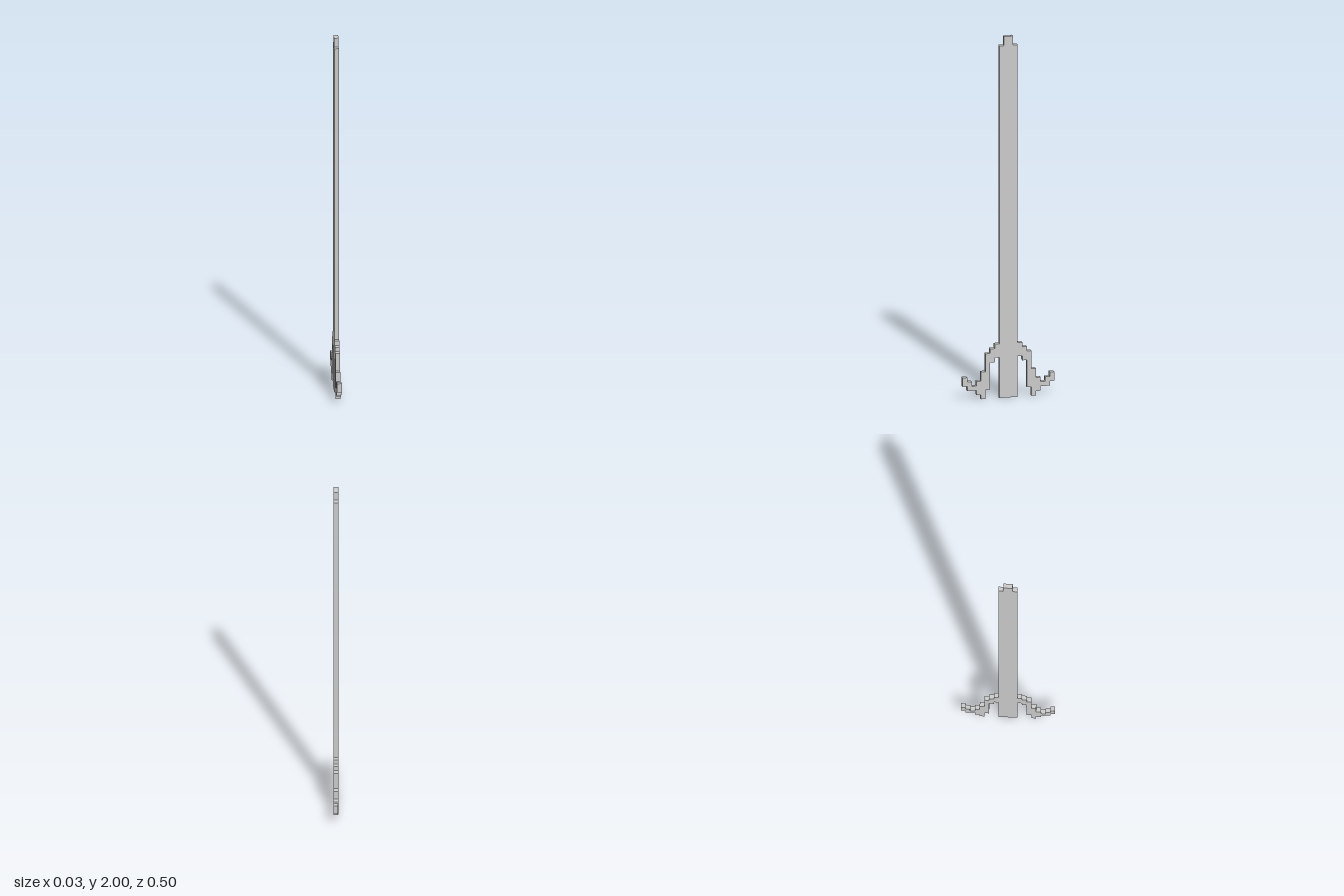
import * as THREE from 'three';

const U = 0.025; // edge of one block
const material = new THREE.MeshStandardMaterial({ color: 0xcccccc, flatShading: true });

// Flat plate one block thick, from a stepped outline of [z, y] block corners
function plate(name, outline, side = 1) {
  const shape = new THREE.Shape(outline.map(([z, y]) => new THREE.Vector2(z * side * U, y * U)));
  const geometry = new THREE.ExtrudeGeometry(shape, { depth: U, bevelEnabled: false });
  geometry.translate(0, 0, -U / 2);
  geometry.rotateY(-Math.PI / 2);
  const mesh = new THREE.Mesh(geometry, material);
  mesh.name = name;
  return mesh;
}

export function createModel() {
  const group = new THREE.Group();
  group.name = 'blade';

  // Long blade with a stepped tip
  group.add(plate('bladeBody', [
    [-2, 0], [2, 0], [2, 78], [1, 78], [1, 80], [-1, 80], [-1, 78], [-2, 78],
  ]));

  // Drooping prong with a hooked end, mirrored front and back
  const prong = [
    [2, 12], [3, 12], [3, 11], [4, 11], [4, 10], [5, 10], [5, 6], [6, 6], [6, 4], [7, 4],
    [7, 3], [8, 3], [8, 4], [9, 4], [9, 5], [10, 5], [10, 3], [9, 3], [9, 2], [7, 2],
    [7, 1], [6, 1], [6, 0], [5, 0], [5, 2], [4, 2], [4, 8], [3, 8], [3, 9], [2, 9],
  ];
  group.add(plate('frontProng', prong, 1));
  group.add(plate('backProng', prong, -1));

  return group;
}
